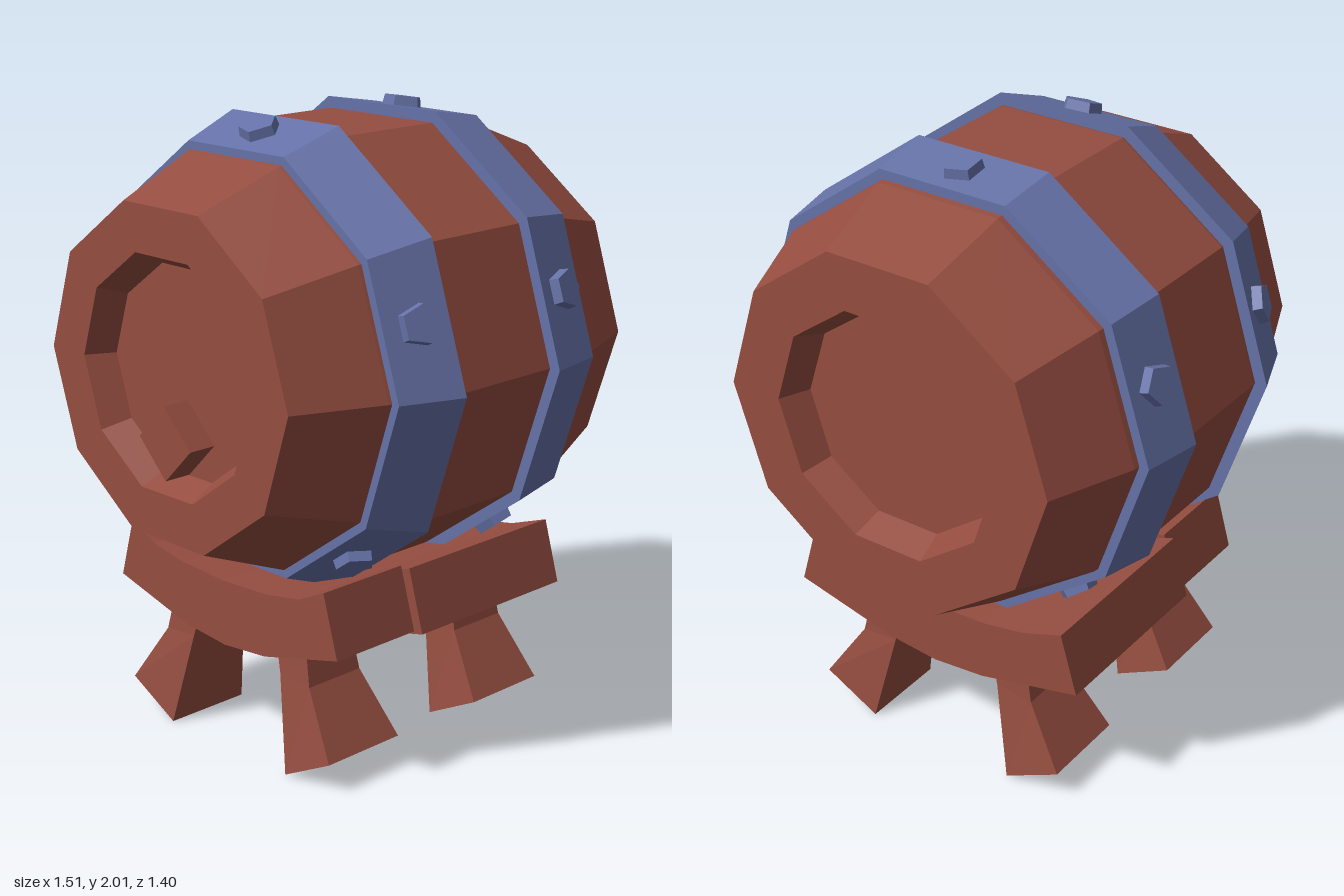
import * as THREE from 'three';

const wood = new THREE.MeshStandardMaterial({ name: 'reddish wood', color: 0x954d40, flatShading: true });
const iron = new THREE.MeshStandardMaterial({ name: 'blue iron', color: 0x6672a8, flatShading: true });
const AXIS_Y = 1.27;
const SIDES = 10;

function add(parent, name, geometry, material) {
  const mesh = new THREE.Mesh(geometry, material);
  mesh.name = name;
  parent.add(mesh);
  return mesh;
}

// Ten-sided turned part lying along z, from [radius, z] points
function turned(points) {
  const profile = points.map(([r, z]) => new THREE.Vector2(r, z));
  return new THREE.LatheGeometry(profile, SIDES, Math.PI / 2).rotateX(Math.PI / 2);
}

// Hoop with five bolts; the radius changes from r0 at z0 to r1 at z1
function makeHoop(name, z0, r0, z1, r1) {
  const hoop = new THREE.Group();
  hoop.name = name;
  const t = 0.045;
  add(hoop, 'band', turned([[r0 - t, z0], [r0, z0], [r1, z1], [r1 - t, z1], [r0 - t, z0]]), iron);

  const flat = Math.cos(Math.PI / SIDES);
  const slope = Math.atan2((r1 - r0) * flat, z1 - z0);
  for (let i = 0; i < 5; i++) {
    const bolt = new THREE.CylinderGeometry(0.06, 0.068, 0.05, 5);
    bolt.rotateY(i === 0 ? Math.PI / 2 : Math.PI);
    bolt.rotateX(-slope);
    bolt.translate(0, (r0 + r1) / 2 * flat + 0.006, (z0 + z1) / 2);
    bolt.rotateZ(i * Math.PI * 2 / 5);
    add(hoop, 'bolt', bolt, iron);
  }
  return hoop;
}

// Curved slab of the cradle, with its ends pulled in by inset
function cradleSlab(inset, z0, z1) {
  const lower = [[0.54 - inset, 0.455], [0.185, 0.372], [0, 0.355]];
  const upper = [[0.482 - inset, 0.655], [0.34, 0.605], [0.2, 0.58], [0, 0.57]];
  const flip = ([x, y]) => [-x, y];
  const outline = [
    ...lower.map(flip), ...lower.slice(0, -1).reverse(),
    ...upper, ...upper.slice(0, -1).reverse().map(flip),
  ];
  const shape = new THREE.Shape(outline.map(([x, y]) => new THREE.Vector2(x, y)));
  return new THREE.ExtrudeGeometry(shape, { depth: z1 - z0, bevelEnabled: false }).translate(0, 0, z0);
}

// Splayed leg: a box whose three levels are moved to inner and outer corners
function legGeometry() {
  const levels = [
    { inner: [0.27, 0.0], outer: [0.465, 0.1], half: 0.15 },
    { inner: [0.205, 0.31], outer: [0.335, 0.3], half: 0.108 },
    { inner: [0.175, 0.42], outer: [0.31, 0.42], half: 0.097 },
  ];
  const geometry = new THREE.BoxGeometry(1, 1, 1, 1, 2, 1);
  const p = geometry.attributes.position;
  for (let i = 0; i < p.count; i++) {
    const level = levels[Math.round((p.getY(i) + 0.5) * 2)];
    const [x, y] = p.getX(i) > 0 ? level.outer : level.inner;
    p.setXYZ(i, x, y, Math.sign(p.getZ(i)) * level.half);
  }
  geometry.computeVertexNormals();
  return geometry;
}

export function createModel() {
  const model = new THREE.Group();
  model.name = 'barrelOnStand';

  // Barrel body with a recessed head at each end
  const barrel = new THREE.Group();
  barrel.name = 'barrel';
  barrel.position.y = AXIS_Y;
  model.add(barrel);
  add(barrel, 'body', turned([
    [0, -0.6], [0.36, -0.6], [0.4, -0.7], [0.58, -0.7], [0.685, -0.42], [0.717, -0.2],
    [0.717, 0.2], [0.65, 0.42], [0.535, 0.7], [0.38, 0.7], [0.335, 0.61], [0, 0.61],
  ]), wood);

  // Square plug set on its corner in the front head
  const plug = add(barrel, 'plug', new THREE.BoxGeometry(0.165, 0.165, 0.1), wood);
  plug.position.set(0, -0.2, 0.653);
  plug.rotation.z = Math.PI / 4;

  // Iron hoops
  barrel.add(makeHoop('frontHoop', 0.21, 0.755, 0.41, 0.68));
  barrel.add(makeHoop('backHoop', -0.4, 0.72, -0.2, 0.755));

  // Stand: stepped cradle and four legs
  const stand = new THREE.Group();
  stand.name = 'stand';
  stand.position.x = -0.012;
  model.add(stand);
  add(stand, 'frontCradle', cradleSlab(0.035, 0.14, 0.47), wood);
  add(stand, 'backCradle', cradleSlab(0, -0.5, 0.14), wood);

  const leg = legGeometry();
  for (const [end, z] of [['front', 0.315], ['back', -0.338]]) {
    for (const [side, turn] of [['Left', 0], ['Right', Math.PI]]) {
      const mesh = add(stand, `${end}${side}Leg`, leg, wood);
      mesh.position.z = z;
      mesh.rotation.y = turn;
    }
  }
  return model;
}
